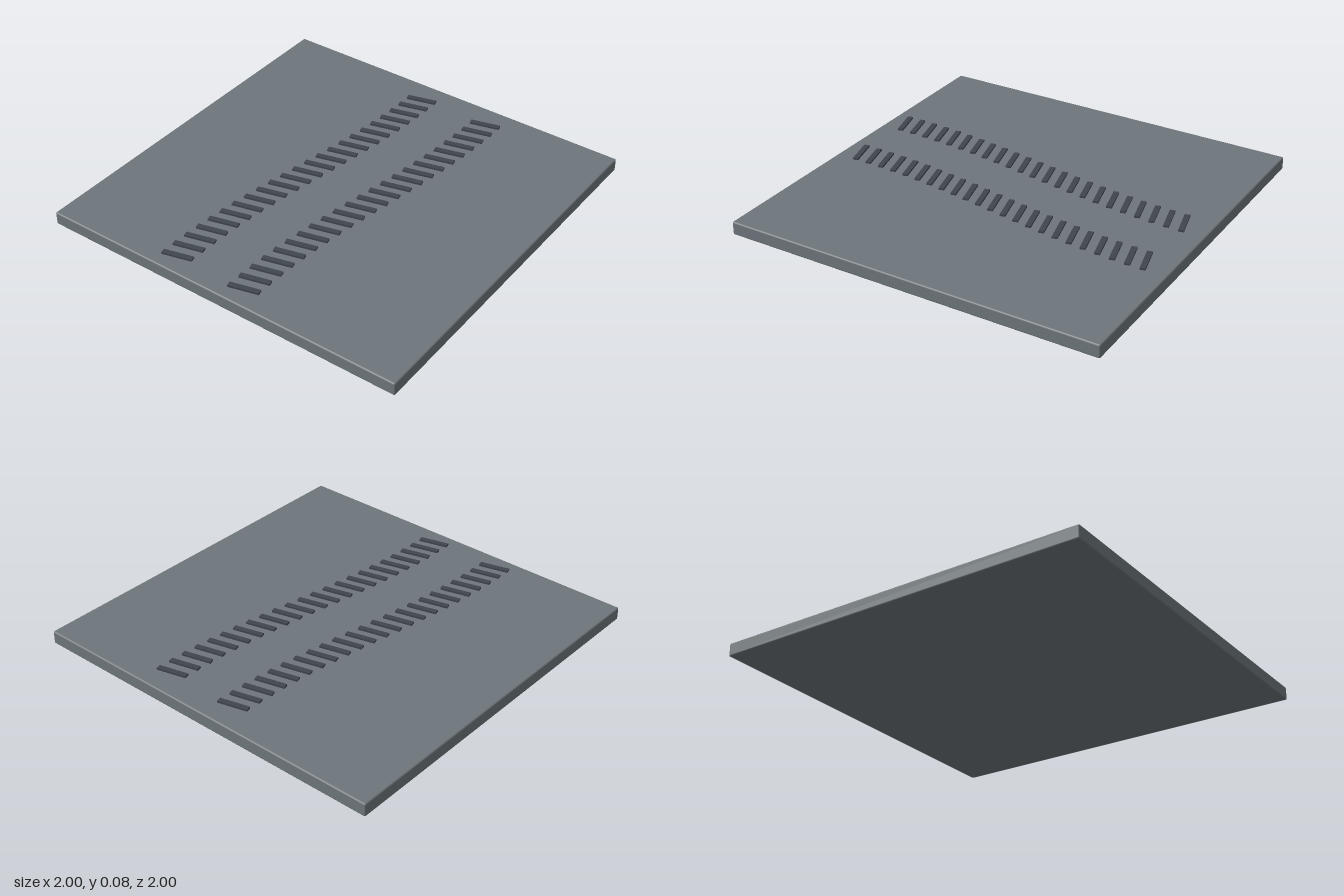
import * as THREE from 'three';
import { RoundedBoxGeometry } from 'three/addons/geometries/RoundedBoxGeometry.js';

const slabGrey = new THREE.MeshStandardMaterial({ name: 'slab grey', color: 0x6e767b });
const treadDark = new THREE.MeshStandardMaterial({ name: 'tread dark grey', color: 0x40464e });

export function createModel() {
  const model = new THREE.Group();
  model.name = 'trackedGround';

  // Square ground slab with softened edges
  const slab = new THREE.Mesh(new RoundedBoxGeometry(2, 0.07, 2, 2, 0.008), slabGrey);
  slab.name = 'groundSlab';
  slab.position.y = 0.035;
  model.add(slab);

  // Two parallel tracks of slanted tread marks along a gentle S-curve
  const markGeometry = new THREE.BoxGeometry(0.158, 0.016, 0.028);
  for (const [name, offset] of [['rightTrack', -0.2], ['leftTrack', 0.2]]) {
    const track = new THREE.Group();
    track.name = name;
    for (let i = 0; i < 23; i++) {
      const z = -0.86 + i * 0.08;
      const mark = new THREE.Mesh(markGeometry, treadDark);
      mark.name = 'treadMark';
      mark.position.set(offset - 0.1 * Math.sin(z * 1.8), 0.072, z);
      mark.rotation.y = 0.25;
      track.add(mark);
    }
    model.add(track);
  }
  return model;
}
